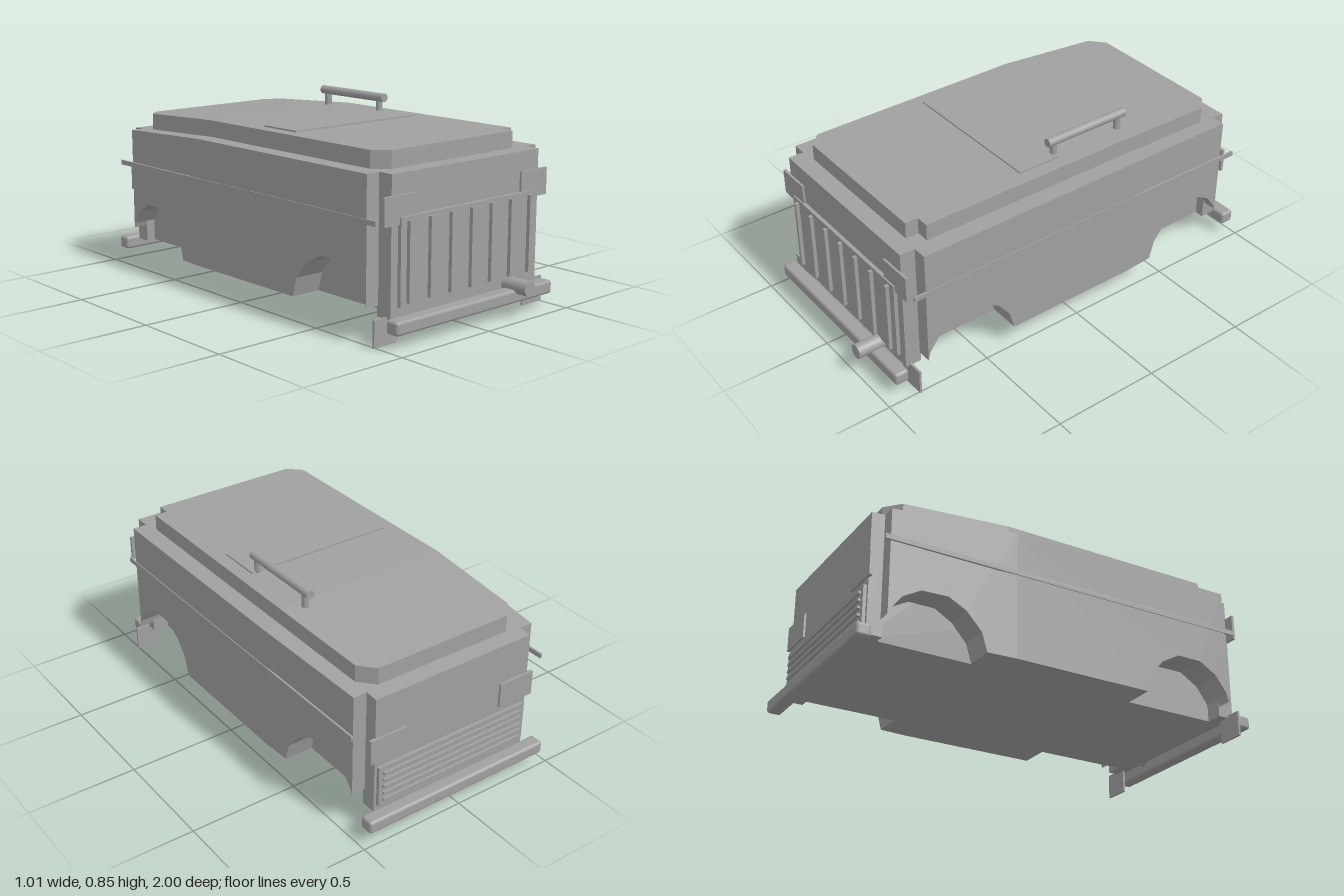
import * as THREE from 'three';
import { RoundedBoxGeometry } from 'three/addons/geometries/RoundedBoxGeometry.js';

export function createModel() {
  const model = new THREE.Group();
  const grey = new THREE.MeshStandardMaterial({ color: 0xa0a0a0 });
  grey.name = 'plain grey';

  const add = (name, geometry) => {
    const mesh = new THREE.Mesh(geometry, grey);
    mesh.name = name;
    model.add(mesh);
    return mesh;
  };
  // Box given by its limits on each axis
  const box = (name, x0, x1, y0, y1, z0, z1) =>
    add(name, new THREE.BoxGeometry(x1 - x0, y1 - y0, z1 - z0))
      .position.set((x0 + x1) / 2, (y0 + y1) / 2, (z0 + z1) / 2);
  const extrude = (points, depth) => new THREE.ExtrudeGeometry(
    new THREE.Shape(points.map(p => new THREE.Vector2(...p))), { depth, bevelEnabled: false });
  // Side profile in (z, y), extruded across x
  const across = (points, x0, x1) => extrude(points.map(([z, y]) => [-z, y]), x1 - x0)
    .rotateY(Math.PI / 2).translate(x0, 0, 0);
  // Plan outline in (x, z), extruded upwards
  const upwards = (points, y0, y1) => extrude(points.map(([x, z]) => [x, -z]), y1 - y0)
    .rotateX(-Math.PI / 2).translate(0, y0, 0);
  const moveVertices = (geometry, rule) => {
    const pos = geometry.attributes.position;
    const v = new THREE.Vector3();
    for (let i = 0; i < pos.count; i++) {
      rule(v.fromBufferAttribute(pos, i));
      pos.setXYZ(i, v.x, v.y, v.z);
    }
    geometry.computeVertexNormals();
    return geometry;
  };

  // Central hull, with narrower front and rear end blocks
  const floor = 0.105, top = 0.69, bend = -0.3, well = 0.36;
  add('hullCore', across([[0.87, floor], [0.87, top], [bend, top], [-0.93, 0.655], [-0.93, floor]], -well, well));
  const rearEnd = [[-0.86, floor], [-0.86, 0.659], [-0.93, 0.655], [-0.93, floor]];
  for (const s of [-1, 1]) {
    const side = s > 0 ? 'left' : 'right';
    const span = (a, b) => (s > 0 ? [a, b] : [-b, -a]);
    box(side + 'FrontCorner', ...span(well, 0.437), floor, top, 0.795, 0.87);
    add(side + 'RearCorner', across(rearEnd, ...span(well, 0.403)));

    // Side walls with faceted wheel arches; the rear half tapers inwards
    add(side + 'FrontWall', across([[bend, floor], [0.355, floor], [0.38, 0.19], [0.44, 0.265], [0.53, 0.315],
      [0.65, 0.315], [0.735, 0.265], [0.79, 0.19], [0.8, 0.15], [0.8, top], [bend, top]], ...span(well, 0.503)));
    const rearWall = across([[bend, floor], [bend, top], [-0.87, 0.658], [-0.87, 0.18], [-0.86, 0.205],
      [-0.81, 0.27], [-0.73, 0.315], [-0.61, 0.315], [-0.53, 0.27], [-0.46, 0.19], [-0.435, floor]], ...span(well, 0.503));
    add(side + 'RearWall', moveVertices(rearWall, v => {
      if (Math.abs(v.x) > 0.45) v.x -= s * 0.036 * (bend - v.z) / 0.57;
    }));

    // Waist strip and front mud flap
    box(side + 'WaistStrip', ...span(0.498, 0.507), 0.49, 0.512, -0.91, 0.855);
    box(side + 'MudFlap', ...span(0.383, 0.507), 0, 0.115, 0.842, 0.852);

    // Lamp plates
    box(side + 'FrontLamp', ...span(0.32, 0.485), 0.487, 0.605, 0.867, 0.88);
    box(side + 'RearLamp', ...span(0.25, 0.43), 0.355, 0.47, -0.94, -0.925);
  }

  // Raised roof, stepped at one front corner and sloping to the rear
  add('roofFront', upwards([[-0.423, bend], [0.423, bend], [0.42, 0.73], [0.36, 0.73], [0.36, 0.79],
    [-0.36, 0.79], [-0.42, 0.73]], 0.64, 0.765));
  const roofRear = upwards([[-0.423, bend], [-0.4, -0.79], [-0.335, -0.855], [0.335, -0.855],
    [0.4, -0.79], [0.423, bend]], 0.64, 0.765);
  add('roofRear', moveVertices(roofRear, v => {
    if (v.y > 0.7) v.y -= 0.03 * (bend - v.z) / 0.555;
  }));

  // Roof hatch and grab rail
  box('roofHatch', -0.362, 0.358, 0.76, 0.772, 0.005, 0.215);
  add('grabRail', new THREE.CylinderGeometry(0.02, 0.02, 0.425, 20).rotateX(Math.PI / 2))
    .position.set(0.323, 0.833, -0.168);
  for (const z of [0.01, -0.345]) {
    add('railPost', new THREE.CylinderGeometry(0.016, 0.016, 0.08, 16)).position.set(0.323, 0.79, z);
  }

  // Ribbed front panel
  box('frontPanel', -0.4, 0.4, 0.152, 0.517, 0.865, 0.887);
  for (let i = -3; i <= 3; i++) {
    box('frontRib', i * 0.12 - 0.007, i * 0.12 + 0.007, 0.167, 0.502, 0.88, 0.904);
  }

  // Rear grille with horizontal slats
  box('rearGrille', -0.39, 0.39, 0.135, 0.325, -0.945, -0.925);
  for (let i = 0; i < 5; i++) {
    const y = 0.158 + i * 0.033;
    box('grilleSlat', -0.37, 0.37, y, y + 0.012, -0.956, -0.94);
  }

  // Bumpers and exhaust pipe
  for (const [name, z] of [['frontBumper', 0.91], ['rearBumper', -0.967]]) {
    add(name, new RoundedBoxGeometry(0.94, 0.06, 0.066, 3, 0.014)).position.set(0, 0.089, z);
  }
  add('exhaustPipe', new THREE.CylinderGeometry(0.033, 0.033, 0.15, 24).rotateX(Math.PI / 2))
    .position.set(0.253, 0.13, 0.925);

  return model;
}
